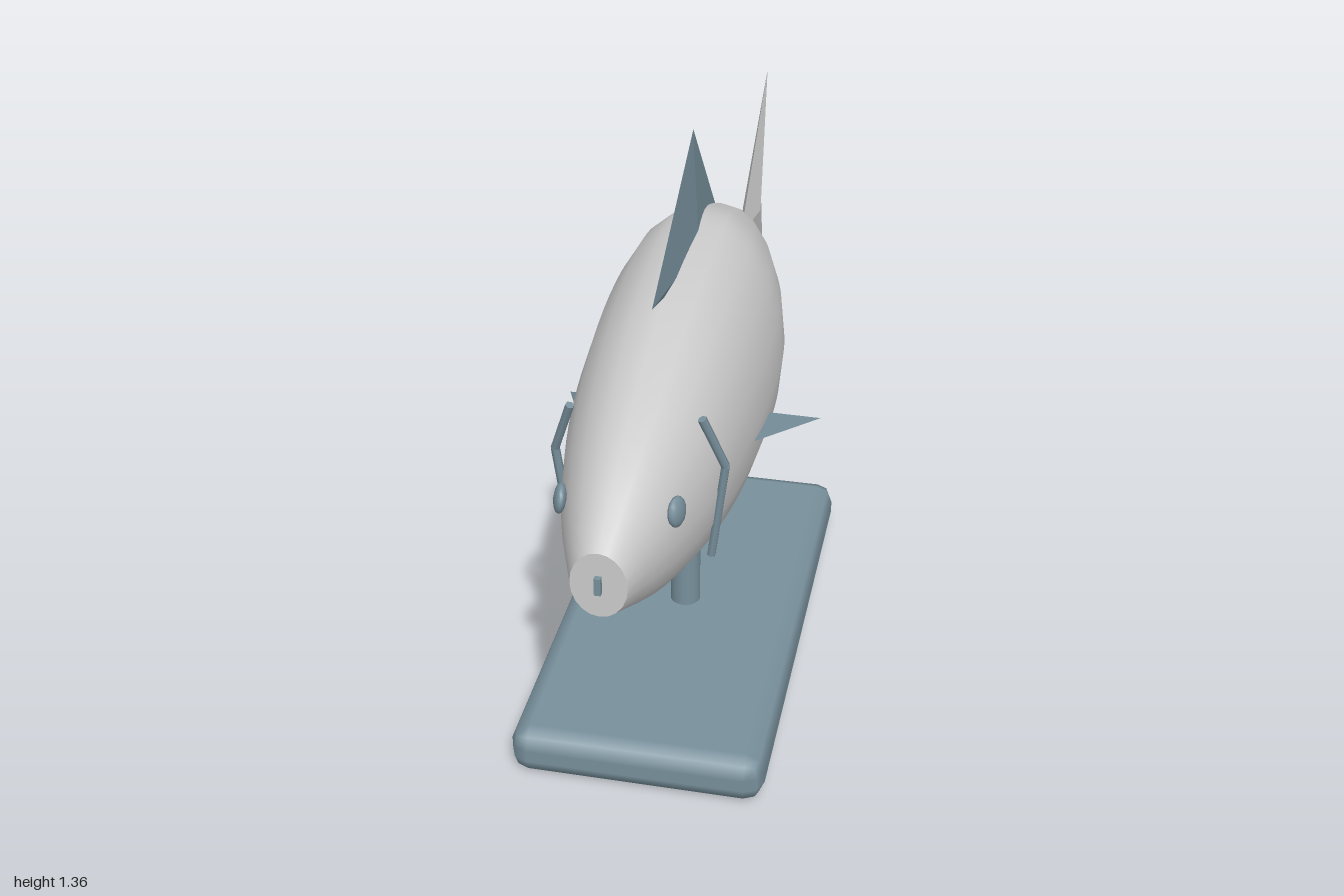
import * as THREE from 'three';
import { RoundedBoxGeometry } from 'three/addons/geometries/RoundedBoxGeometry.js';

const V = (x, y, z) => new THREE.Vector3(x, y, z);
const grey = new THREE.MeshStandardMaterial({ color: 0xcccccc });
const greyFin = new THREE.MeshStandardMaterial({ color: 0xcccccc, flatShading: true, side: THREE.DoubleSide });
const blue = new THREE.MeshStandardMaterial({ color: 0x78909c });
const blueFin = new THREE.MeshStandardMaterial({ color: 0x78909c, flatShading: true, side: THREE.DoubleSide });

function add(parent, name, geometry, material) {
  const mesh = new THREE.Mesh(geometry, material);
  mesh.name = name;
  parent.add(mesh);
  return mesh;
}

function triangles(list) {
  return new THREE.BufferGeometry().setFromPoints(list.flat()).toNonIndexed
    ? withNormals(new THREE.BufferGeometry().setFromPoints(list.flat())) : null;
}

function withNormals(geometry) {
  geometry.computeVertexNormals();
  return geometry;
}

// Body: elliptical sections along z, lofted smoothly, with flat ends
function bodyGeometry() {
  const CY = 0.775, SIDES = 20, STEPS = 32;
  // z, half width, half height
  const stations = [
    [0.985, 0.06, 0.078], [0.8, 0.126, 0.178], [0.6, 0.175, 0.255], [0.35, 0.207, 0.322],
    [0.1, 0.217, 0.351], [-0.05, 0.208, 0.347], [-0.225, 0.17, 0.28], [-0.4, 0.113, 0.193], [-0.6, 0.03, 0.078],
  ];
  const curve = new THREE.CatmullRomCurve3(stations.map(([z, w, h]) => V(w, h, z)));
  const positions = [], index = [];
  for (let i = 0; i <= STEPS; i++) {
    const s = curve.getPoint(i / STEPS);
    for (let j = 0; j <= SIDES; j++) {
      const a = (j / SIDES) * Math.PI * 2;
      positions.push(s.x * Math.sin(a), CY + s.y * Math.cos(a), s.z);
      if (i < STEPS && j < SIDES) {
        const p = i * (SIDES + 1) + j, q = p + SIDES + 1;
        index.push(p, p + 1, q, p + 1, q + 1, q);
      }
    }
  }
  const geometry = new THREE.BufferGeometry();
  geometry.setAttribute('position', new THREE.Float32BufferAttribute(positions, 3));
  geometry.setIndex(index);
  geometry.computeVertexNormals();
  // Make the front-facing winding outward and blend the seam normals
  const n = geometry.attributes.normal;
  for (let i = 0; i <= STEPS; i++) {
    const a = i * (SIDES + 1), b = a + SIDES;
    const m = V(0, n.getY(a) + n.getY(b), n.getZ(a) + n.getZ(b)).normalize();
    n.setXYZ(a, m.x, m.y, m.z);
    n.setXYZ(b, m.x, m.y, m.z);
  }
  return geometry;
}

// Thin fin: a flat outline of [z, y] points swelling to a ridge point on both sides
function finGeometry(outline, [cz, cy], half) {
  const faces = [];
  for (const side of [1, -1]) {
    outline.forEach(([z, y], i) => {
      const [z2, y2] = outline[(i + 1) % outline.length];
      const tri = [V(0, y, z), V(0, y2, z2), V(side * half, cy, cz)];
      faces.push(side > 0 ? tri : tri.reverse());
    });
  }
  return triangles(faces);
}

// Round bar between two points
function addBar(parent, name, a, b, radius) {
  const bar = add(parent, name, new THREE.CylinderGeometry(radius, radius, a.distanceTo(b), 6), blue);
  bar.position.lerpVectors(a, b, 0.5);
  bar.quaternion.setFromUnitVectors(V(0, 1, 0), b.clone().sub(a).normalize());
}

export function createModel() {
  const model = new THREE.Group();
  model.name = 'fishOnStand';

  // Stand
  const base = add(model, 'base', new RoundedBoxGeometry(0.6, 0.12, 1.2, 1, 0.045), blue);
  base.position.set(0, 0.06, 0.14);
  const post = add(model, 'post', new THREE.CylinderGeometry(0.038, 0.038, 0.38, 16), blue);
  post.position.set(0, 0.29, 0.145);

  // Body with its flat snout and tail root
  add(model, 'body', bodyGeometry(), grey);
  const snout = add(model, 'snout', new THREE.CircleGeometry(1, 20), grey);
  snout.scale.set(0.06, 0.078, 1);
  snout.position.set(0, 0.775, 0.985);
  const tailRoot = add(model, 'tailRoot', new THREE.CircleGeometry(1, 20), grey);
  tailRoot.scale.set(0.03, 0.078, 1);
  tailRoot.rotation.y = Math.PI;
  tailRoot.position.set(0, 0.775, -0.6);
  const mouth = add(model, 'mouth', new THREE.BoxGeometry(0.014, 0.04, 0.03), blue);
  mouth.position.set(0, 0.778, 0.982);

  // Fins on the centre line
  add(model, 'tailFin', finGeometry([[-0.595, 0.785], [-1, 0.44], [-0.915, 0.81], [-1, 1.11]], [-0.77, 0.785], 0.025), greyFin);
  add(model, 'dorsalFin', finGeometry([[0.48, 1.13], [0.04, 1.36], [-0.23, 1.05], [0.08, 1.02]], [0.08, 1.08], 0.021), blueFin);

  // Paired parts
  for (const s of [1, -1]) {
    const side = s > 0 ? 'left' : 'right';

    const eye = add(model, side + 'Eye', new THREE.SphereGeometry(0.033, 12, 8), blue);
    eye.scale.x = 0.42;
    eye.position.set(s * 0.123, 0.853, 0.812);
    eye.rotation.set(0, -s * 0.25, s * 0.15);

    const gill = new THREE.Group();
    gill.name = side + 'Gill';
    const bend = V(s * 0.187, 0.845, 0.615);
    addBar(gill, 'gillUpper', V(s * 0.142, 0.975, 0.645), bend, 0.01);
    addBar(gill, 'gillLower', bend, V(s * 0.157, 0.61, 0.615), 0.01);
    model.add(gill);

    // Swept-back side fin
    const front = V(s * 0.2, 0.747, 0.36), top = V(s * 0.2, 0.725, 0.19);
    const bottom = V(s * 0.19, 0.64, 0.15), tip = V(s * 0.315, 0.627, 0.035);
    const faces = [[front, tip, top], [front, bottom, tip], [top, tip, bottom], [front, top, bottom]];
    add(model, side + 'SideFin', triangles(s > 0 ? faces : faces.map((f) => [...f].reverse())), blueFin);
  }
  return model;
}
